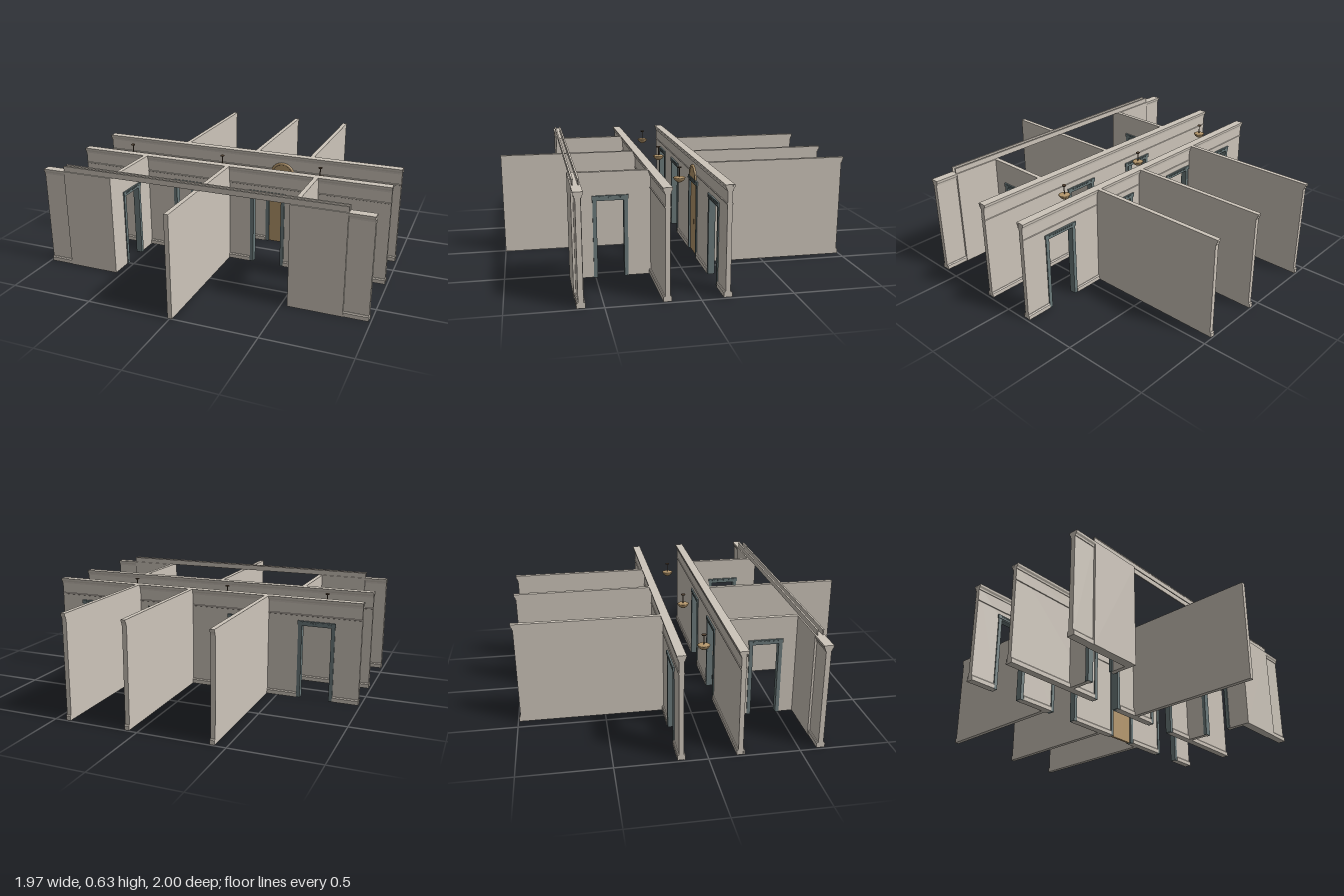
import * as THREE from 'three';

const mat = (name, color) => {
  const m = new THREE.MeshStandardMaterial({ color });
  m.name = name;
  return m;
};

export function createModel() {
  const root = new THREE.Group();
  root.name = 'corridorInterior';
  const plaster = mat('plaster', 0xcdc5ba);
  const frameGrey = mat('frameGrey', 0x6b7a7b);
  const wood = mat('wood', 0xb5976c);
  const bronze = mat('bronze', 0x5e4c3a);

  const H = 0.6, T = 0.026, DOOR_H = 0.445, HALF = 0.09;

  const add = (parent, name, geo, material) => {
    const m = new THREE.Mesh(geo, material);
    m.name = name;
    parent.add(m);
    return m;
  };
  const block = (parent, name, material, x0, x1, y0, y1, z0, z1) => {
    const m = add(parent, name, new THREE.BoxGeometry(x1 - x0, y1 - y0, z1 - z0), material);
    m.position.set((x0 + x1) / 2, (y0 + y1) / 2, (z0 + z1) / 2);
    return m;
  };

  // Wall slab along x, centred on z = 0, with doorways notched from the floor
  const slab = (parent, x0, x1, doors, half, t = T) => {
    const s = new THREE.Shape();
    s.moveTo(x0, 0);
    for (const d of doors) {
      s.lineTo(d - half, 0);
      s.lineTo(d - half, DOOR_H);
      s.lineTo(d + half, DOOR_H);
      s.lineTo(d + half, 0);
    }
    s.lineTo(x1, 0);
    s.lineTo(x1, H);
    s.lineTo(x0, H);
    const g = new THREE.ExtrudeGeometry(s, { depth: t, bevelEnabled: false });
    g.translate(0, 0, -t / 2);
    add(parent, 'wall', g, plaster);
  };

  // Moulding run along x on the face pointing to +z or -z; points are [out, y]
  const moulding = (parent, name, points, x0, x1, face, side) => {
    const s = new THREE.Shape(points.map(([o, y]) => new THREE.Vector2(o, y)));
    const g = new THREE.ExtrudeGeometry(s, { depth: x1 - x0, bevelEnabled: false });
    g.rotateY(-Math.PI / 2);
    g.translate((x1 - x0) / 2, 0, face);
    if (side < 0) g.rotateY(Math.PI);
    g.translate((x0 + x1) / 2, 0, 0);
    add(parent, name, g, plaster);
  };
  const crown = [[0, H - 0.032], [0.004, H - 0.032], [0.005, H - 0.022], [0.011, H - 0.012], [0.012, H], [0, H]];
  const base = [[0, 0], [0.009, 0], [0.009, 0.024], [0.004, 0.03], [0, 0.03]];
  const pictureRail = [[0, 0.496], [0.004, 0.498], [0.004, 0.503], [0, 0.505]];

  // Door casing: jambs through the wall, plus a projecting head with dentils
  const casing = (parent, x, half) => {
    const g = new THREE.Group();
    g.name = 'doorFrame';
    g.position.x = x;
    parent.add(g);
    const d = T / 2 + 0.006, jamb = 0.018;
    for (const s of [-1, 1]) {
      const inner = s * (half - 0.004), outer = s * (half + jamb);
      block(g, 'jamb', frameGrey, Math.min(inner, outer), Math.max(inner, outer), 0, DOOR_H, -d, d);
      const z0 = s > 0 ? T / 2 : -d - 0.003, z1 = s > 0 ? d + 0.003 : -T / 2;
      block(g, 'head', frameGrey, -half - 0.022, half + 0.022, DOOR_H, 0.468, z0, z1);
      for (let i = 0; i < 12; i++) {
        const cx = (i - 5.5) * (2 * half / 12);
        block(g, 'dentil', frameGrey, cx - 0.004, cx + 0.004, 0.455, 0.464, s > 0 ? z1 : z0 - 0.003, s > 0 ? z1 + 0.003 : z0);
      }
    }
    block(g, 'headLining', frameGrey, -half, half, DOOR_H - 0.006, DOOR_H, -d, d);
  };

  // Long corridor walls with crown, picture rail and baseboards between the doors
  const corridorWall = (name, z, doors) => {
    const g = new THREE.Group();
    g.name = name;
    g.position.z = z;
    root.add(g);
    slab(g, -0.985, 0.985, doors, HALF);
    for (const side of [-1, 1]) {
      moulding(g, 'crown', crown, -0.987, 0.987, T / 2, side);
      moulding(g, 'pictureRail', pictureRail, -0.985, 0.985, T / 2, side);
      const stops = [-0.987, ...doors.flatMap((d) => [d - HALF - 0.018, d + HALF + 0.018]), 0.987];
      for (let i = 0; i < stops.length; i += 2) {
        moulding(g, 'baseboard', base, stops[i], stops[i + 1], T / 2, side);
      }
    }
    doors.forEach((d) => casing(g, d, HALF));
    return g;
  };
  const rear = corridorWall('rearCorridorWall', -0.143, [-0.725, -0.29, 0.243, 0.725]);
  corridorWall('frontCorridorWall', 0.176, [-0.255, 0.255]);

  // Wooden double door with an arched panel above it
  for (const s of [-1, 1]) {
    const cx = 0.243 + s * 0.0435;
    block(rear, 'doorLeaf', wood, cx - 0.0428, cx + 0.0428, 0, DOOR_H - 0.006, -0.008, 0.008);
  }
  const fan = add(rear, 'archPanel', new THREE.CylinderGeometry(0.07, 0.07, 0.008, 24, 1, false, Math.PI / 2, Math.PI), wood);
  fan.rotation.x = Math.PI / 2;
  fan.position.set(0.243, 0.47, T / 2 + 0.004);
  const arch = add(rear, 'archTrim', new THREE.TorusGeometry(0.072, 0.008, 8, 24, Math.PI), wood);
  arch.position.set(0.243, 0.47, T / 2 + 0.004);

  // Rear partitions, each closed by a small moulded end
  for (const x of [-0.423, 0.063, 0.423]) {
    const g = new THREE.Group();
    g.name = 'rearPartition';
    g.position.x = x;
    root.add(g);
    block(g, 'wall', plaster, -T / 2, T / 2, 0, H, -0.985, -0.15);
    moulding(g, 'endCrown', crown, -T / 2, T / 2, 0.985, -1);
    moulding(g, 'endBase', base, -T / 2, T / 2, 0.985, -1);
  }

  // Front partitions: a plain one in the middle, one with a doorway on each side
  block(root, 'middlePartition', plaster, -T / 2, T / 2, 0, H, 0.18, 1);
  for (const s of [-1, 1]) {
    const g = new THREE.Group();
    g.name = s > 0 ? 'leftPartition' : 'rightPartition';
    g.rotation.y = -Math.PI / 2;
    g.position.x = s * 0.55;
    root.add(g);
    slab(g, 0.18, 0.61, [0.413], 0.079);
    casing(g, 0.413, 0.079);
  }

  // Front side walls: thick inner pier, slimmer moulded outer end
  for (const s of [-1, 1]) {
    const g = new THREE.Group();
    g.name = s > 0 ? 'leftFrontWall' : 'rightFrontWall';
    g.position.z = 0.618;
    root.add(g);
    const span = (a, b) => (s > 0 ? [a, b] : [-b, -a]);
    block(g, 'pier', plaster, ...span(0.537, 0.848), 0, H, -0.026, 0.026);
    const outer = span(0.848, 0.987);
    block(g, 'outerWall', plaster, ...outer, 0, H, -0.014, 0.014);
    for (const side of [-1, 1]) {
      moulding(g, 'crown', crown, ...outer, 0.014, side);
      moulding(g, 'baseboard', base, ...outer, 0.014, side);
    }
  }

  // Pair of slim rails spanning the front opening
  for (const z of [0.603, 0.634]) {
    block(root, 'overheadRail', plaster, -0.85, 0.85, 0.6, 0.627, z - 0.003, z + 0.003);
    block(root, 'overheadRailCap', plaster, -0.85, 0.85, 0.627, 0.632, z - 0.005, z + 0.005);
  }

  // Hanging corridor lamps
  const bowlProfile = [[0, 0.513], [0.012, 0.515], [0.026, 0.525], [0.035, 0.54], [0.03, 0.543], [0, 0.545]]
    .map(([r, y]) => new THREE.Vector2(r, y));
  for (const x of [-0.74, -0.107, 0.525]) {
    const g = new THREE.Group();
    g.name = 'hangingLamp';
    g.position.set(x, 0, 0.018);
    root.add(g);
    add(g, 'bowl', new THREE.LatheGeometry(bowlProfile, 24), wood);
    add(g, 'rod', new THREE.CylinderGeometry(0.003, 0.003, 0.06, 10), bronze).position.y = 0.57;
    add(g, 'canopy', new THREE.CylinderGeometry(0.013, 0.011, 0.006, 16), bronze).position.y = 0.598;
  }
  return root;
}
